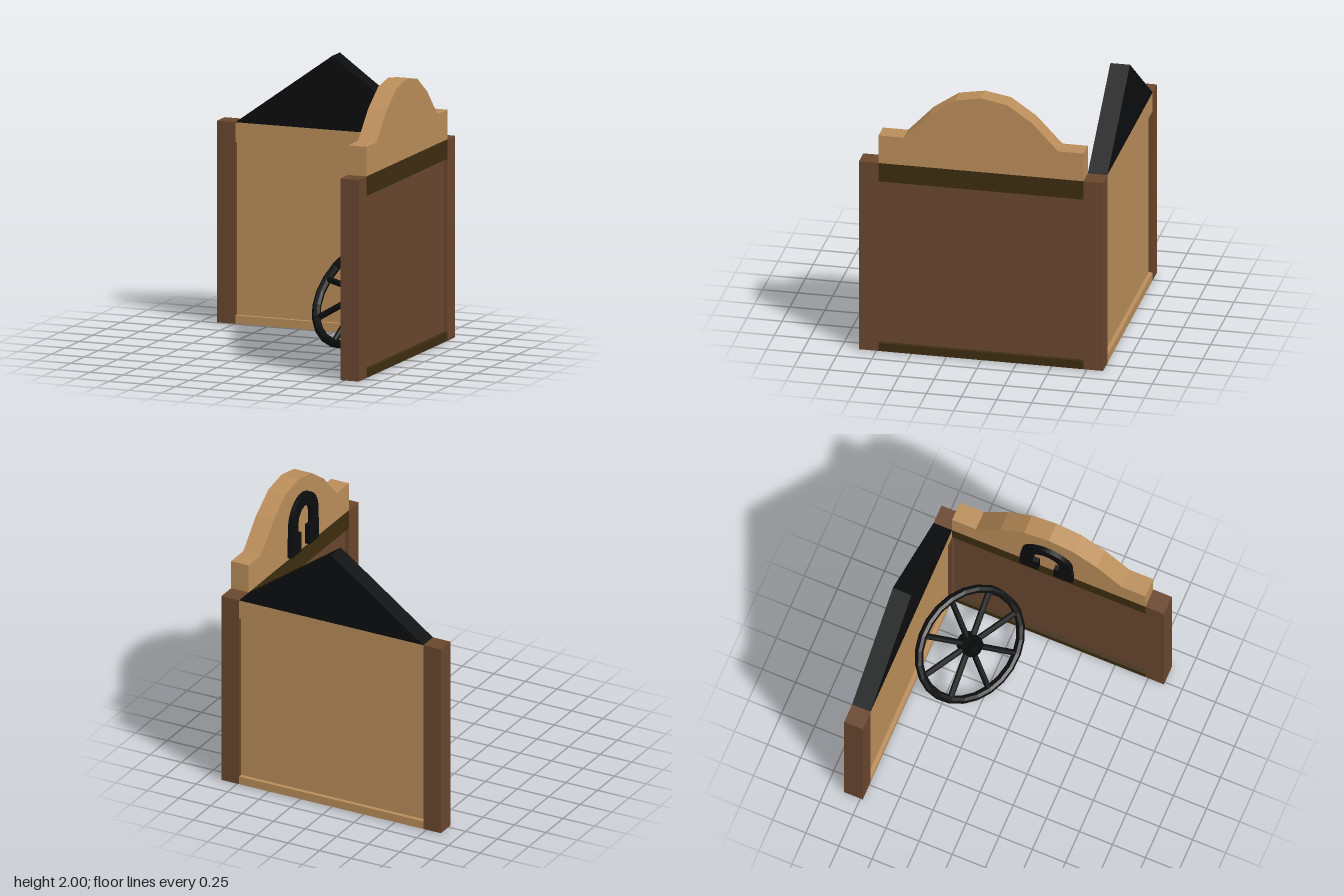
import * as THREE from 'three';

const paint = (name, color) => {
  const m = new THREE.MeshStandardMaterial({ color });
  m.name = name;
  return m;
};

export function createModel() {
  const tan = paint('tan wood', 0xbb8e5a);
  const brown = paint('brown wood', 0x6a472e);
  const olive = paint('dark olive wood', 0x3e2d10);
  const black = paint('black iron', 0x0c0d0e);

  const model = new THREE.Group();
  model.name = 'cornerWalls';

  const add = (parent, name, geometry, material, x = 0, y = 0, z = 0) => {
    const mesh = new THREE.Mesh(geometry, material);
    mesh.name = name;
    mesh.position.set(x, y, z);
    parent.add(mesh);
    return mesh;
  };
  const extrude = (shape, depth) =>
    new THREE.ExtrudeGeometry(shape, { depth, bevelEnabled: false, curveSegments: 10 });
  const outline = (points) => new THREE.Shape(points.map(([x, y]) => new THREE.Vector2(x, y)));

  // Layout: square posts at three corners, walls centred on the post line
  const bottom = 0.01, top = 1.44, post = 0.14, line = 0.8, span = 1.46;
  for (const [x, z] of [[-line, -line], [line, -line], [line, line]]) {
    add(model, 'post', new THREE.BoxGeometry(post, top - bottom, post), brown, x, (top + bottom) / 2, z);
  }

  // A wall runs along its local x: recessed panel between two full-depth rails
  const buildWall = (name, panelMaterial, railMaterial) => {
    const wall = new THREE.Group();
    wall.name = name;
    add(wall, 'panel', new THREE.BoxGeometry(span, 1.23, 0.08), panelMaterial, 0, 0.685);
    add(wall, 'topRail', new THREE.BoxGeometry(span, 0.14, post), railMaterial, 0, 1.37);
    add(wall, 'bottomRail', new THREE.BoxGeometry(span, 0.06, post), railMaterial, 0, 0.04);
    model.add(wall);
    return wall;
  };

  // Back wall with a triangular gable
  const backWall = buildWall('backWall', tan, tan);
  backWall.position.z = -line;
  const gable = outline([[-0.73, top], [0.73, top], [0, 1.965]]);
  add(backWall, 'gable', extrude(gable, post), black, 0, 0, -post / 2);

  // Side wall with a stepped, arched crest
  const sideWall = buildWall('sideWall', brown, olive);
  sideWall.position.x = line;
  sideWall.rotation.y = Math.PI / 2;
  const half = [[0.73, top], [0.73, 1.65], [0.55, 1.65], [0.365, 1.845], [0.185, 1.968]];
  const mirrored = half.map(([x, y]) => [-x, y]).reverse();
  add(sideWall, 'crest', extrude(outline([...half, [0, 2], ...mirrored]), post), tan, 0, 0, -post / 2);

  // Horseshoe on the inner face of the crest, open end down with wide feet
  const shoe = new THREE.Shape();
  const cy = 1.71, outer = 0.19, inner = 0.1;
  shoe.moveTo(outer, cy);
  shoe.absarc(0, cy, outer, 0, Math.PI, false);
  for (const [x, y] of [[-outer, 1.63], [-0.2, 1.63], [-0.2, 1.48], [-0.06, 1.48], [-0.06, 1.63], [-inner, 1.63]]) {
    shoe.lineTo(x, y);
  }
  shoe.lineTo(-inner, cy);
  shoe.absarc(0, cy, inner, Math.PI, 0, true);
  for (const [x, y] of [[inner, 1.63], [0.06, 1.63], [0.06, 1.48], [0.2, 1.48], [0.2, 1.63], [outer, 1.63]]) {
    shoe.lineTo(x, y);
  }
  add(sideWall, 'horseshoe', extrude(shoe, 0.035), black, 0, 0, 0.677 - line);

  // Spoked wheel leaning into the corner, built flat around its local z axis
  const wheel = new THREE.Group();
  wheel.name = 'wheel';
  const rimRadius = 0.417;
  add(wheel, 'rim', new THREE.TorusGeometry(rimRadius, 0.031, 8, 24).toNonIndexed(), black)
    .geometry.computeVertexNormals();
  const hubProfile = [[0.035, -0.05], [0.08, -0.05], [0.08, 0.05], [0.035, 0.05], [0.035, -0.05]];
  const hub = new THREE.LatheGeometry(hubProfile.map(([r, y]) => new THREE.Vector2(r, y)), 12);
  hub.rotateX(Math.PI / 2);
  add(wheel, 'hub', hub, black);
  for (let i = 0; i < 8; i++) {
    const a = (i * Math.PI) / 4, r = (0.06 + rimRadius) / 2;
    const spoke = new THREE.CylinderGeometry(0.022, 0.022, rimRadius - 0.06, 8);
    spoke.rotateZ(Math.PI / 2);
    add(wheel, 'spoke', spoke, black, r * Math.cos(a), r * Math.sin(a), 0).rotation.z = a;
  }
  const axle = new THREE.Vector3(-0.355, 0.597, 0.719).normalize();
  const across = new THREE.Vector3(axle.y, -axle.x, 0).normalize();
  const up = new THREE.Vector3().crossVectors(axle, across);
  wheel.quaternion.setFromRotationMatrix(new THREE.Matrix4().makeBasis(across, up, axle));
  wheel.position.set(0.36, 0.367, -0.44);
  model.add(wheel);

  return model;
}
